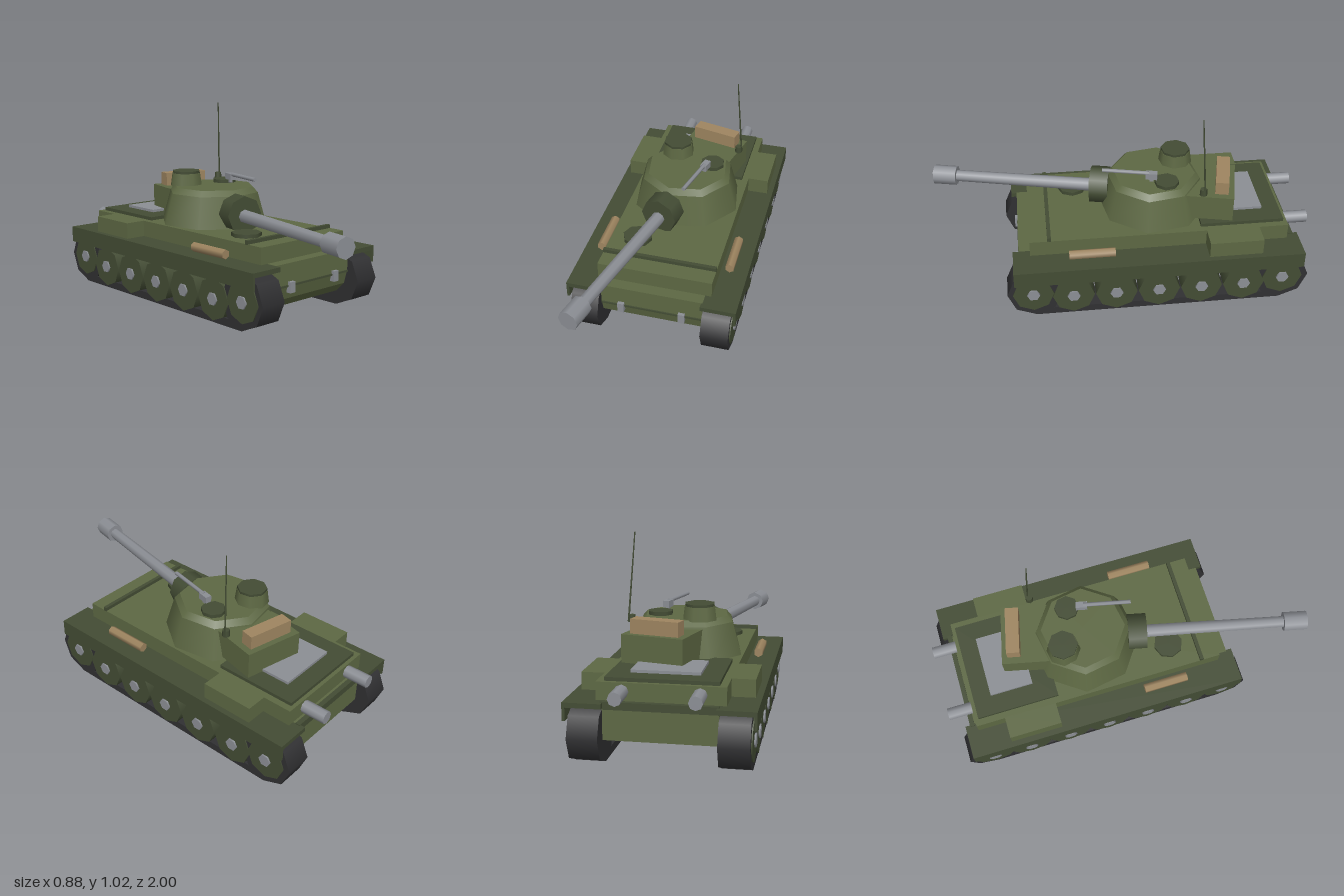
import * as THREE from 'three';

const mat = (color) => new THREE.MeshStandardMaterial({ color });
const green = mat(0x5d6843), dark = mat(0x434c34), steel = mat(0x8b8e94);
const wood = mat(0x9e8560), rubber = mat(0x303032);

function add(parent, name, geometry, material, x = 0, y = 0, z = 0) {
  const mesh = new THREE.Mesh(geometry, material);
  mesh.name = name;
  mesh.position.set(x, y, z);
  parent.add(mesh);
  return mesh;
}

// Box given by its extents along each axis
function block(parent, name, material, [x0, x1], [y0, y1], [z0, z1]) {
  return add(parent, name, new THREE.BoxGeometry(x1 - x0, y1 - y0, z1 - z0), material,
    (x0 + x1) / 2, (y0 + y1) / 2, (z0 + z1) / 2);
}

const drum = (rTop, rBottom, h, sides = 8) => new THREE.CylinderGeometry(rTop, rBottom, h, sides);
const drumX = (r, h, sides = 8) => drum(r, r, h, sides).rotateZ(Math.PI / 2);
const drumZ = (rFront, rBack, h, sides = 8) => drum(rFront, rBack, h, sides).rotateX(Math.PI / 2);

// Extrude a (z, y) outline sideways, centred on x = 0
function extrudeX(shape, width) {
  return new THREE.ExtrudeGeometry(shape, { depth: width, bevelEnabled: false })
    .translate(0, 0, -width / 2).rotateY(-Math.PI / 2);
}

function buildRunningGear(side) {
  const gear = new THREE.Group();
  gear.name = side > 0 ? 'leftTrackAssembly' : 'rightTrackAssembly';
  const span = (a, b) => (side > 0 ? [a, b] : [-b, -a]);
  const zFront = 0.477, zRear = -0.827;

  // Track: upper and lower runs with solid turned ends
  block(gear, 'trackLowerRun', rubber, span(0.27, 0.415), [0, 0.04], [zRear, zFront]);
  block(gear, 'trackUpperRun', rubber, span(0.27, 0.415), [0.245, 0.283], [zRear, zFront]);
  for (const z of [zFront, zRear]) {
    add(gear, 'trackEnd', drumX(0.143, 0.145), rubber, side * 0.3425, 0.145, z);
  }

  // End wheels stand proud of the track; five road wheels between
  const wheel = (name, z, y, r) => {
    add(gear, name, drumX(r, 0.13), dark, side * 0.356, y, z);
    add(gear, 'hub', drumX(0.034, 0.02, 6), steel, side * 0.42, y, z);
  };
  wheel('driveWheel', 0.485, 0.145, 0.107);
  wheel('idlerWheel', -0.83, 0.145, 0.107);
  for (let i = 0; i < 5; i++) wheel('roadWheel', 0.276 - i * 0.225, 0.12, 0.11);

  // Fender, skirt and the gear stowed on it
  block(gear, 'fender', dark, span(0.26, 0.442), [0.283, 0.307], [-0.935, 0.58]);
  block(gear, 'skirt', dark, span(0.428, 0.442), [0.22, 0.29], [-0.935, 0.58]);
  block(gear, 'stowageBox', green, span(0.295, 0.412), [0.305, 0.393], [-0.715, -0.435]);
  add(gear, 'fenderLog', drumZ(0.025, 0.025, 0.24, 6), wood, side * 0.347, 0.333, 0.17);
  return gear;
}

function buildHull() {
  const hull = new THREE.Group();
  hull.name = 'hull';
  // Raised floor with a nose plate dipping below it
  const profile = new THREE.Shape([
    [0.55, 0.307], [0.55, 0.2], [0.53, 0.125], [0.48, 0.075], [0.44, 0.125],
    [-0.89, 0.125], [-0.89, 0.307],
  ].map(([z, y]) => new THREE.Vector2(z, y)));
  add(hull, 'lowerHull', extrudeX(profile, 0.534), green);
  block(hull, 'upperHull', green, [-0.3, 0.3], [0.3, 0.393], [-0.87, 0.49]);
  block(hull, 'splashBoard', dark, [-0.3, 0.3], [0.39, 0.412], [0.378, 0.398]);
  block(hull, 'noseSeam', dark, [-0.265, 0.265], [0.19, 0.2], [0.54, 0.556]);
  block(hull, 'rearSeam', dark, [-0.27, 0.27], [0.275, 0.312], [-0.91, -0.885]);
  block(hull, 'engineDeck', dark, [-0.265, 0.265], [0.39, 0.411], [-0.85, -0.41]);
  block(hull, 'engineGrille', steel, [-0.165, 0.165], [0.41, 0.425], [-0.755, -0.525]);
  add(hull, 'driverHatch', drum(0.078, 0.078, 0.025), dark, -0.16, 0.4, 0.24);
  for (const side of [-1, 1]) {
    block(hull, 'towHook', steel, [side * 0.16 - 0.017, side * 0.16 + 0.017], [0.16, 0.215], [0.54, 0.568]);
    add(hull, 'exhaust', drumZ(0.033, 0.033, 0.14), steel, side * 0.18, 0.352, -0.93);
  }
  return hull;
}

function buildTurret() {
  const turret = new THREE.Group();
  turret.name = 'turret';
  turret.position.set(0, 0, -0.19);
  turret.rotation.y = -0.225;
  add(turret, 'turretBody', drum(0.25, 0.298, 0.17), green, 0, 0.474, 0);
  add(turret, 'turretRoof', drum(0.222, 0.25, 0.03), green, 0, 0.574, 0);

  // Bustle with a crate on top
  block(turret, 'bustle', green, [-0.16, 0.16], [0.41, 0.55], [-0.435, -0.18]);
  block(turret, 'crate', wood, [-0.125, 0.125], [0.55, 0.622], [-0.405, -0.335]);

  // Main gun
  add(turret, 'mantlet', drumZ(0.1, 0.1, 0.1), dark, 0, 0.475, 0.288);
  add(turret, 'gunBarrel', drumZ(0.031, 0.036, 0.82), steel, 0, 0.468, 0.7);
  add(turret, 'muzzle', drumZ(0.053, 0.053, 0.125), steel, 0, 0.468, 1.145);

  // Roof fittings
  add(turret, 'cupola', drum(0.08, 0.09, 0.07), green, -0.114, 0.618, -0.107);
  add(turret, 'cupolaHatch', drum(0.078, 0.078, 0.016), dark, -0.114, 0.658, -0.107);
  add(turret, 'roofHatch', drum(0.065, 0.065, 0.02), dark, 0.112, 0.598, -0.08);
  block(turret, 'machineGunMount', steel, [0.099, 0.115], [0.595, 0.63], [-0.01, 0.01]);
  block(turret, 'machineGunReceiver', steel, [0.09, 0.124], [0.612, 0.647], [-0.03, 0.03]);
  add(turret, 'machineGunBarrel', drumZ(0.011, 0.011, 0.25, 6), steel, 0.107, 0.642, 0.135);
  return turret;
}

// Leaning whip antenna on a small socket
function buildAntenna() {
  const antenna = new THREE.Group();
  antenna.name = 'antenna';
  add(antenna, 'antennaBase', drum(0.018, 0.02, 0.035), dark, 0.236, 0.598, -0.418);
  const foot = new THREE.Vector3(0.252, 0.583, -0.425), tip = new THREE.Vector3(0.221, 1.022, -0.398);
  const lean = tip.clone().sub(foot);
  const mid = foot.clone().lerp(tip, 0.5);
  const whip = add(antenna, 'whip', drum(0.003, 0.005, lean.length(), 6), dark, mid.x, mid.y, mid.z);
  whip.quaternion.setFromUnitVectors(new THREE.Vector3(0, 1, 0), lean.normalize());
  return antenna;
}

export function createModel() {
  const model = new THREE.Group();
  model.name = 'tank';
  model.add(buildHull(), buildRunningGear(1), buildRunningGear(-1), buildTurret(), buildAntenna());
  return model;
}
